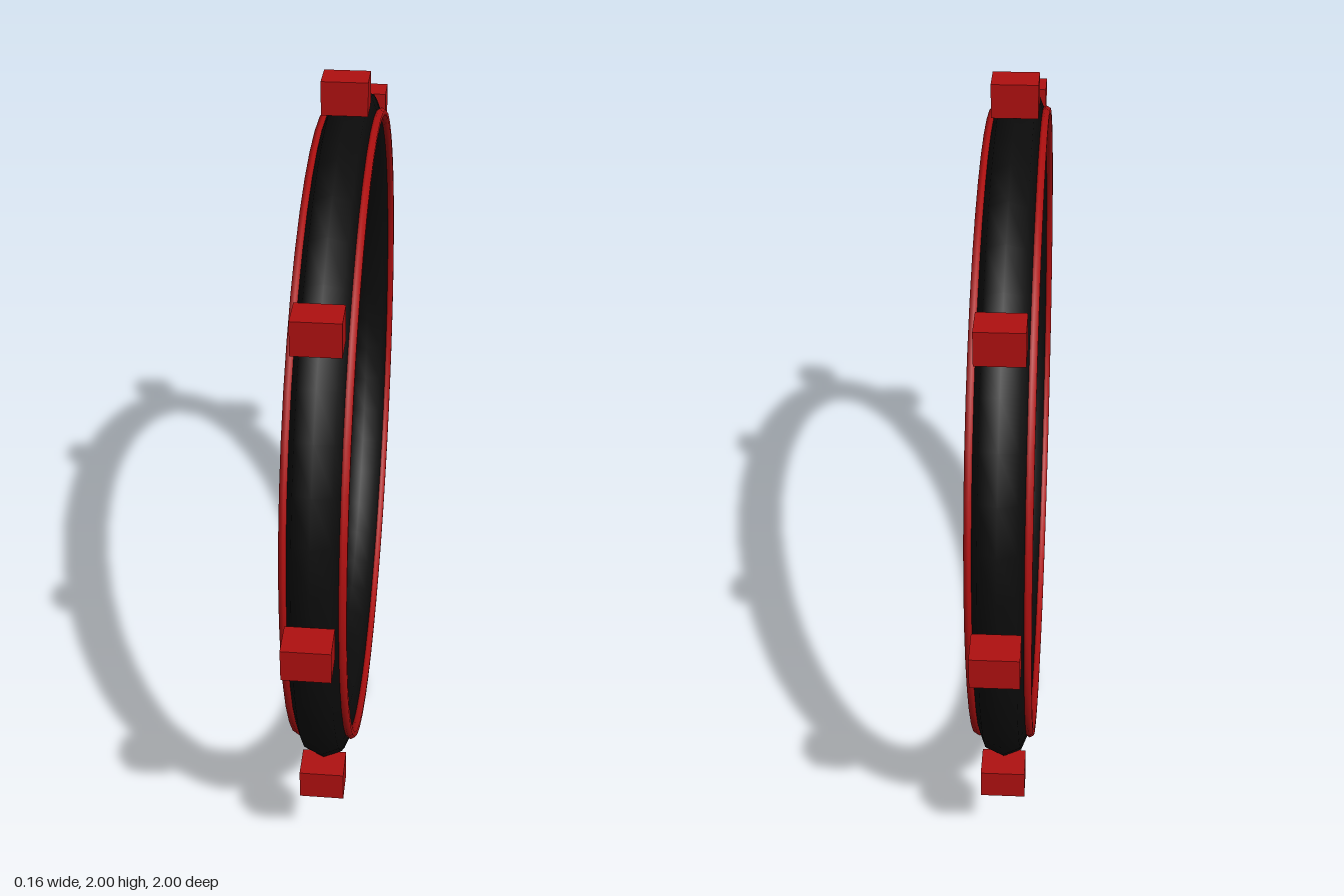
import * as THREE from 'three';

export function createModel() {
  const model = new THREE.Group();
  const black = new THREE.MeshStandardMaterial({ color: 0x0b0b0b });
  const red = new THREE.MeshStandardMaterial({ color: 0xb01010 });

  // Upright hoop in the YZ plane, centred at height 1
  function hoop(name, radius, tube, sides, x, material) {
    const geometry = new THREE.TorusGeometry(radius, tube, sides, 48).rotateY(Math.PI / 2);
    const mesh = new THREE.Mesh(geometry, material);
    mesh.name = name;
    mesh.position.set(x, 1, 0);
    model.add(mesh);
  }

  // Main ring with a thin trim ring on each side
  hoop('mainRing', 0.85, 0.064, 8, 0, black);
  hoop('leftTrimRing', 0.85, 0.013, 6, 0.067, red);
  hoop('rightTrimRing', 0.85, 0.013, 6, -0.067, red);

  // Eight square-set blocks around the rim
  const blocks = new THREE.Group();
  blocks.name = 'rimBlocks';
  const blockGeometry = new THREE.BoxGeometry(0.115, 0.085, 0.085);
  for (let i = 0; i < 8; i++) {
    const angle = (i * Math.PI) / 4;
    const block = new THREE.Mesh(blockGeometry, red);
    block.name = `rimBlock${i + 1}`;
    block.position.set(0, 1 + 0.9575 * Math.cos(angle), 0.9575 * Math.sin(angle));
    blocks.add(block);
  }
  model.add(blocks);

  return model;
}
